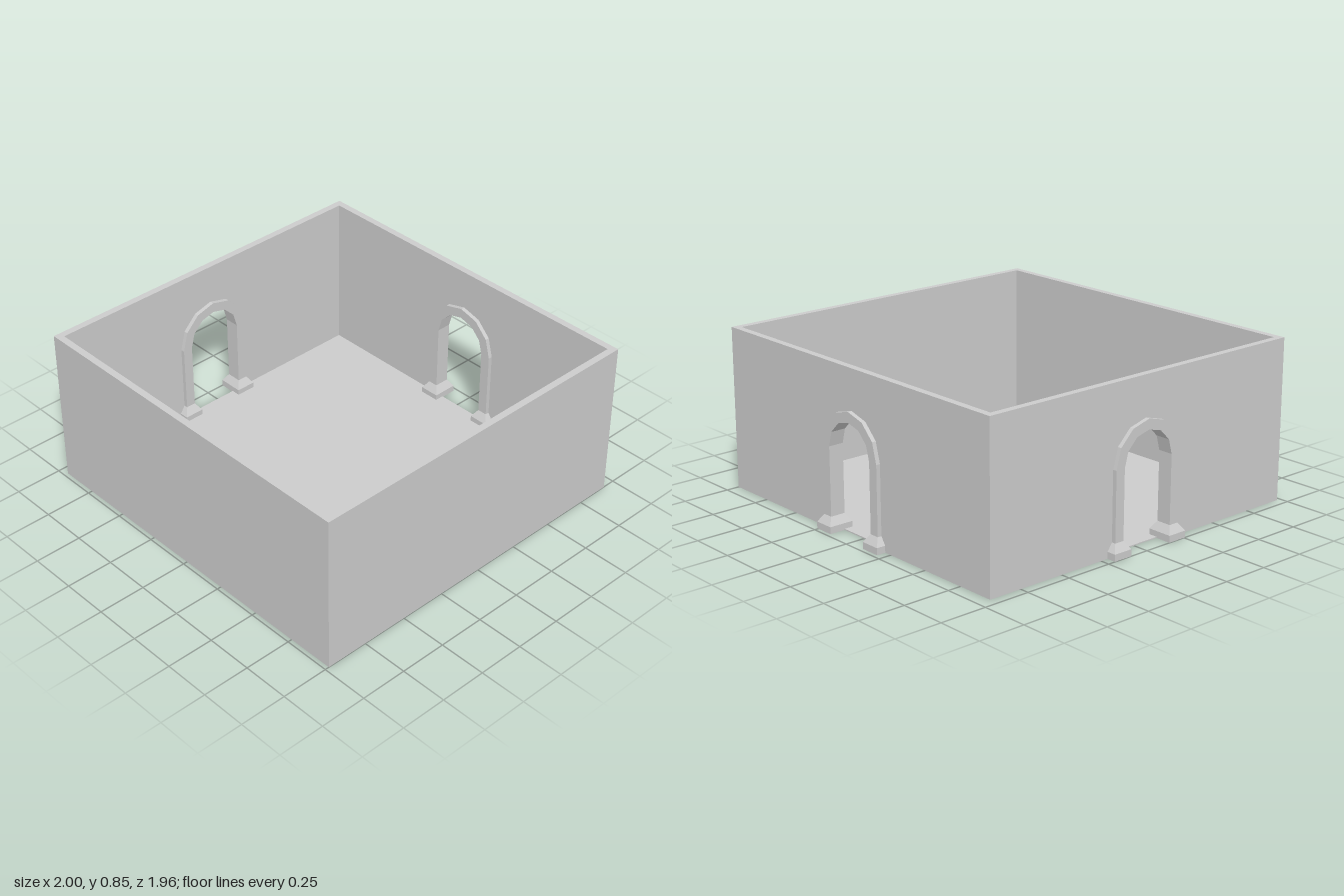
import * as THREE from 'three';

const X0 = -0.951, X1 = 1, Z0 = -0.93, Z1 = 0.978; // outer faces of the walls
const CX = (X0 + X1) / 2, CZ = (Z0 + Z1) / 2;
const HEIGHT = 0.845, WALL = 0.036;
const SPRING = 0.43, OUTER = 0.207, INNER = 0.154, ARCH_DEPTH = 0.08;

const material = new THREE.MeshStandardMaterial({ color: 0xcccccc, flatShading: true });

function mesh(name, geometry) {
  const m = new THREE.Mesh(geometry, material);
  m.name = name;
  return m;
}

// Points of a round-headed opening, from the right foot over the top to the left foot
function archPoints(radius, foot = 0, segments = 6) {
  const points = [new THREE.Vector2(radius, foot)];
  for (let i = 0; i <= segments; i++) {
    const a = (Math.PI * i) / segments;
    points.push(new THREE.Vector2(radius * Math.cos(a), SPRING + radius * Math.sin(a)));
  }
  points.push(new THREE.Vector2(-radius, foot));
  return points;
}

// Extruded outline centred on its depth
function slab(points, depth) {
  const geometry = new THREE.ExtrudeGeometry(new THREE.Shape(points), { depth, bevelEnabled: false });
  return geometry.translate(0, 0, -depth / 2);
}

// Wall panel, with the doorway notched out of its lower edge if wanted
function wallGeometry(length, withDoor) {
  const h = length / 2;
  const corner = (x, y) => new THREE.Vector2(x, y);
  const notch = withDoor ? archPoints(INNER + 0.012).reverse() : [];
  return slab([corner(-h, 0), ...notch, corner(h, 0), corner(h, HEIGHT), corner(-h, HEIGHT)], WALL);
}

// Plinth block: straight foot with a sloping shoulder
function plinth(x) {
  const group = new THREE.Group();
  group.name = 'plinth';
  const width = 0.106, depth = 0.133, footHeight = 0.035, shoulderHeight = 0.04;
  const foot = mesh('plinthFoot', new THREE.BoxGeometry(width, footHeight, depth));
  foot.position.y = footHeight / 2;
  const geometry = new THREE.BoxGeometry(width, shoulderHeight, depth);
  const p = geometry.attributes.position;
  for (let i = 0; i < p.count; i++) {
    if (p.getY(i) > 0) {
      p.setX(i, Math.sign(p.getX(i)) * (OUTER - INNER) / 2);
      p.setZ(i, Math.sign(p.getZ(i)) * ARCH_DEPTH / 2);
    }
  }
  geometry.computeVertexNormals();
  const shoulder = mesh('plinthShoulder', geometry);
  shoulder.position.y = footHeight + shoulderHeight / 2;
  group.add(foot, shoulder);
  group.position.x = x;
  return group;
}

// Arched door frame standing on two plinths
function doorFrame() {
  const group = new THREE.Group();
  group.name = 'doorFrame';
  const outline = [...archPoints(OUTER, 0.07), ...archPoints(INNER, 0.07).reverse()];
  group.add(mesh('arch', slab(outline, ARCH_DEPTH)));
  for (const side of [-1, 1]) group.add(plinth(side * (OUTER + INNER) / 2));
  return group;
}

export function createModel() {
  const model = new THREE.Group();
  model.name = 'walledRoom';

  // Thin floor
  const floor = mesh('floor', new THREE.BoxGeometry(X1 - X0 - 2 * WALL, 0.006, Z1 - Z0 - 2 * WALL));
  floor.position.set(CX, 0.003, CZ);
  model.add(floor);

  // Four walls; the back and one side have a doorway
  const longX = X1 - X0, longZ = Z1 - Z0 - 2 * WALL, t = WALL / 2;
  const walls = [
    ['backWall', longX, CX, Z0 + t, 0, true],
    ['frontWall', longX, CX, Z1 - t, 0, false],
    ['rightWall', longZ, X0 + t, CZ, Math.PI / 2, true],
    ['leftWall', longZ, X1 - t, CZ, Math.PI / 2, false],
  ];
  for (const [name, length, x, z, turn, withDoor] of walls) {
    const group = new THREE.Group();
    group.name = name;
    group.add(mesh('panel', wallGeometry(length, withDoor)));
    if (withDoor) group.add(doorFrame());
    group.position.set(x, 0, z);
    group.rotation.y = turn;
    model.add(group);
  }
  return model;
}
